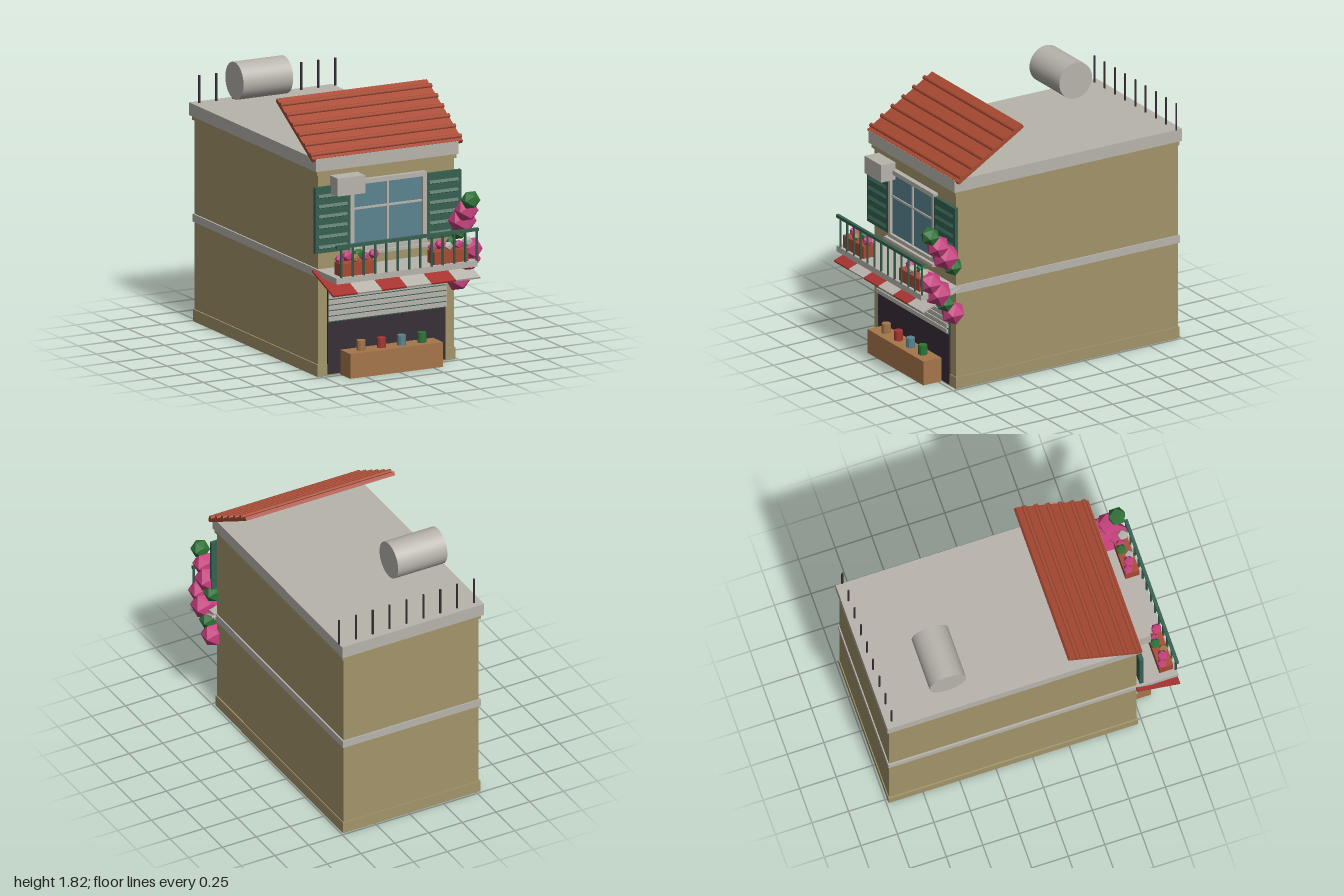
import * as THREE from 'three';

const mat = (name, color, extra = {}) =>
  Object.assign(new THREE.MeshStandardMaterial({ color, ...extra }), { name });

export function createModel() {
  const model = new THREE.Group();
  model.name = 'shopHouse';
  const M = {
    wall: mat('ochreWall', 0xa3956a),
    stone: mat('paleStone', 0xb8b4ac),
    tile: mat('terracotta', 0xa84a33),
    green: mat('shutterGreen', 0x356050),
    pink: mat('blossomPink', 0xc8417f),
    leaf: mat('leafGreen', 0x2f7338),
    glass: mat('glassBlue', 0x5a838f),
    red: mat('awningRed', 0xa83430),
    wood: mat('woodBrown', 0xa5764a),
    dark: mat('darkInterior', 0x372e37),
  };

  const add = (name, geo, m, x = 0, y = 0, z = 0, parent = model) => {
    const mesh = new THREE.Mesh(geo, m);
    mesh.name = name;
    mesh.position.set(x, y, z);
    parent.add(mesh);
    return mesh;
  };
  // Box given by its min and max on each axis
  const box = (name, m, x0, x1, y0, y1, z0, z1, parent) =>
    add(name, new THREE.BoxGeometry(x1 - x0, y1 - y0, z1 - z0), m,
      (x0 + x1) / 2, (y0 + y1) / 2, (z0 + z1) / 2, parent);
  const group = (name) => {
    const g = new THREE.Group();
    g.name = name;
    model.add(g);
    return g;
  };
  // Faceted ball for blossoms and leaves
  const bloom = (name, m, r, x, y, z, parent) =>
    add(name, new THREE.IcosahedronGeometry(r, 0), m, x, y, z, parent);

  // Walls and horizontal bands
  box('walls', M.wall, -0.52, 0.48, 0, 1.38, -0.98, 0.715);
  box('plinth', M.wall, -0.53, 0.487, 0, 0.08, -0.986, 0.722);
  box('cornice', M.wall, -0.535, 0.49, 1.345, 1.376, -0.986, 0.727);
  box('floorBand', M.stone, -0.532, 0.49, 0.665, 0.717, -0.988, 0.724);
  box('roofSlab', M.stone, -0.55, 0.5, 1.375, 1.46, -1, 0.74);

  // Sloping tile roof with round ridges
  const roof = group('tileRoof');
  roof.position.set(-0.02, 1.6, 0.484);
  roof.rotation.x = 0.542;
  box('roofPanel', M.tile, -0.552, 0.552, -0.0125, 0.0125, -0.29, 0.29, roof);
  const ridgeGeo = new THREE.CylinderGeometry(0.015, 0.015, 1.112, 8).rotateZ(Math.PI / 2);
  for (let i = 0; i < 6; i++) add('tileRidge', ridgeGeo, M.tile, 0, 0.016, 0.25 - i * 0.0955, roof);

  // Water tank and rods on the flat roof
  add('waterTank', new THREE.CylinderGeometry(0.125, 0.125, 0.365, 32).rotateZ(Math.PI / 2),
    M.stone, -0.273, 1.691, -0.555);
  const rodGeo = new THREE.CylinderGeometry(0.007, 0.007, 0.185, 6);
  for (let i = 0; i < 9; i++) add('roofRod', rodGeo, M.dark, -0.5 + i * 0.125, 1.5525, -0.955);

  // Window
  const win = group('window');
  box('glass', M.glass, -0.28, 0.24, 0.82, 1.27, 0.715, 0.73, win);
  box('frameSide', M.stone, -0.3, -0.272, 0.8, 1.288, 0.715, 0.75, win);
  box('frameSide', M.stone, 0.232, 0.26, 0.8, 1.288, 0.715, 0.75, win);
  box('frameTop', M.stone, -0.3, 0.26, 1.258, 1.288, 0.715, 0.75, win);
  box('frameBottom', M.stone, -0.3, 0.26, 0.8, 0.835, 0.715, 0.75, win);
  box('windowSill', M.stone, -0.315, 0.28, 0.79, 0.81, 0.715, 0.772, win);
  box('mullion', M.stone, -0.027, -0.013, 0.83, 1.26, 0.728, 0.74, win);
  box('transom', M.stone, -0.275, 0.235, 1.089, 1.103, 0.728, 0.738, win);

  // Shutters with slats
  for (const cx of [-0.43, 0.386]) {
    const s = group('shutter');
    box('shutterPanel', M.green, cx - 0.129, cx + 0.129, 0.83, 1.27, 0.722, 0.747, s);
    for (let i = 0; i < 6; i++) {
      const slat = box('slat', M.green, cx - 0.105, cx + 0.105, -0.011, 0.011, -0.004, 0.004, s);
      slat.position.set(cx, 0.87 + i * 0.068, 0.749);
      slat.rotation.x = -0.5;
    }
  }

  box('airConditioner', M.stone, -0.443, -0.24, 1.22, 1.34, 0.73, 0.838);

  // Balcony and railing
  const balcony = group('balcony');
  box('balconyFloor', M.stone, -0.535, 0.5, 0.677, 0.717, 0.715, 0.995, balcony);
  box('handRail', M.green, -0.535, 0.51, 0.915, 0.935, 0.978, 1, balcony);
  const balGeo = new THREE.CylinderGeometry(0.008, 0.008, 0.205, 6);
  for (let i = 0; i < 13; i++) add('baluster', balGeo, M.green, -0.497 + i * 0.083, 0.817, 0.989, balcony);

  // Planters: each flower is x offset, height, z, material
  const planters = [
    [-0.49, ['pink', 'pink', 'wood', 'leaf', 'pink', 'pink']],
    [0.195, ['pink', 'pink', 'stone', 'leaf', 'pink', 'stone']],
  ];
  const spots = [[0.025, 0.82, 0.905], [0.07, 0.84, 0.925], [0.117, 0.825, 0.945],
    [0.162, 0.84, 0.905], [0.205, 0.82, 0.915], [0.255, 0.84, 0.945]];
  for (const [x, kinds] of planters) {
    const p = group('planter');
    box('planterBox', M.tile, x, x + 0.25, 0.717, 0.802, 0.88, 0.975, p);
    spots.forEach(([dx, y, z], i) =>
      bloom('flower', M[kinds[i]], i % 2 ? 0.037 : 0.032, x + dx, y, z, p));
  }

  // Climbing blossoms in two cascades
  const vine = group('climbingBlossoms');
  const kinds = ['leaf', 'pink', 'pink', 'leaf', 'pink', 'pink', 'leaf', 'pink'];
  const radii = [0.065, 0.08, 0.095, 0.065, 0.08, 0.095, 0.065, 0.083];
  kinds.forEach((k, i) =>
    bloom('blossom', M[k], radii[i], 0.49, 1.107 - i * 0.0807, 0.92 - (i % 4) * 0.0575, vine));

  // Striped awning
  const awning = group('awning');
  awning.position.set(-0.02, 0.654, 0.852);
  awning.rotation.x = 0.351;
  for (let i = 0; i < 6; i++) {
    const x = -0.541 + i * 0.1805;
    box('awningStripe', i % 2 ? M.stone : M.red, x, x + 0.1795, -0.006, 0.006, -0.155, 0.155, awning);
  }

  // Shop opening with half-raised roller door
  box('shopOpening', M.dark, -0.457, 0.41, 0.01, 0.62, 0.715, 0.728);
  const roller = group('rollerDoor');
  box('rollerBack', M.green, -0.457, 0.41, 0.358, 0.66, 0.722, 0.734, roller);
  for (let i = 0; i < 8; i++) {
    const y = 0.367 + i * 0.037;
    box('rollerSlat', M.stone, -0.457, 0.41, y, y + 0.028, 0.73, 0.744, roller);
  }

  // Counter with jars
  box('counter', M.wood, -0.365, 0.318, 0, 0.165, 0.72, 0.865);
  const jarGeo = new THREE.CylinderGeometry(0.03, 0.03, 0.066, 10).toNonIndexed();
  jarGeo.computeVertexNormals();
  ['wood', 'red', 'glass', 'leaf'].forEach((k, i) =>
    add('jar', jarGeo, M[k], -0.248 + i * 0.149, 0.198, 0.795));

  return model;
}
